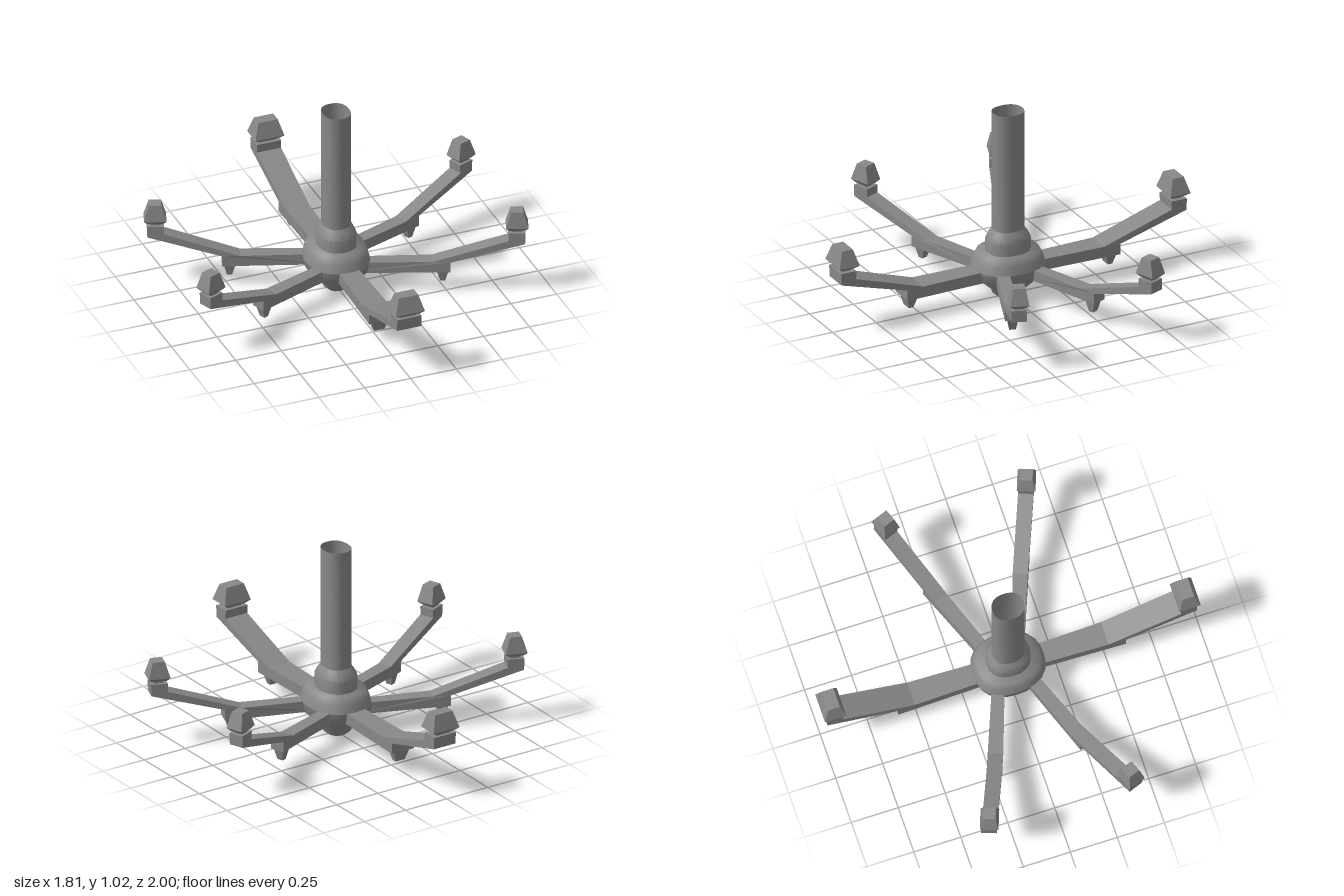
import * as THREE from 'three';
import { toCreasedNormals } from 'three/addons/utils/BufferGeometryUtils.js';

const smooth = new THREE.MeshStandardMaterial({ color: 0x888888, side: THREE.DoubleSide });
const flat = new THREE.MeshStandardMaterial({ color: 0x888888, flatShading: true });

function addMesh(parent, name, geometry, material) {
  const mesh = new THREE.Mesh(geometry, material);
  mesh.name = name;
  parent.add(mesh);
  return mesh;
}

// Lathe with a slightly squared, front-to-back stretched cross-section
function roundedLathe(profile, crease) {
  const geo = new THREE.LatheGeometry(profile.map(([r, y]) => new THREE.Vector2(r, y)), 24);
  const p = geo.attributes.position;
  for (let i = 0; i < p.count; i++) {
    const x = p.getX(i), z = p.getZ(i), r = Math.hypot(x, z);
    if (r < 1e-6) continue;
    const n = 2.4;
    const k = Math.pow(Math.pow(Math.abs(x / r), n) + Math.pow(Math.abs(z / r), n), -1 / n);
    p.setXYZ(i, x * k, p.getY(i), z * k * 1.16);
  }
  geo.deleteAttribute('normal');
  return toCreasedNormals(geo, crease);
}

// Box tapering from bottom half sizes [x, z] to top half sizes
function frustum(y0, [x0, z0], y1, [x1, z1]) {
  const geo = new THREE.BoxGeometry(2, y1 - y0, 2).translate(0, (y0 + y1) / 2, 0);
  const p = geo.attributes.position;
  for (let i = 0; i < p.count; i++) {
    const top = p.getY(i) > (y0 + y1) / 2;
    p.setX(i, p.getX(i) * (top ? x1 : x0));
    p.setZ(i, p.getZ(i) * (top ? z1 : z0));
  }
  return geo;
}

// Side outline of an arm: level bar, sloped rise and lamp holder block
const armOutline = [
  [0.08, 0.117], [0.606, 0.117], [0.606, 0.175], [0.983, 0.284], [0.985, 0.347],
  [0.898, 0.347], [0.9, 0.302], [0.515, 0.177], [0.08, 0.177],
];

// The arm points along +x; beyond the elbow it veers sideways by bend per unit
function makeArm(name, widthScale, bend) {
  const arm = new THREE.Group();
  arm.name = name;
  const veer = (x) => bend * Math.max(0, x - 0.515);

  const shape = new THREE.Shape(armOutline.map(([x, y]) => new THREE.Vector2(x, y)));
  const geo = new THREE.ExtrudeGeometry(shape, { depth: 2, bevelEnabled: false }).translate(0, 0, -1);
  const p = geo.attributes.position;
  for (let i = 0; i < p.count; i++) {
    const x = p.getX(i);
    const half = THREE.MathUtils.mapLinear(Math.min(x, 0.606), 0.08, 0.606, 0.052, 0.066);
    p.setZ(i, p.getZ(i) * half * widthScale + veer(x));
  }
  addMesh(arm, 'armBar', geo, flat);

  // Drop finial under the elbow
  const drop = addMesh(arm, 'dropFinial', frustum(0.056, [0.013, 0.028], 0.12, [0.03, 0.047]), flat);
  drop.position.set(0.567, 0, veer(0.567));
  drop.scale.z = widthScale;

  // Neck and two-part shade on the holder
  const lamp = new THREE.Group();
  lamp.name = 'lamp';
  lamp.position.set(0.943, 0, veer(0.943));
  lamp.scale.z = widthScale;
  addMesh(lamp, 'lampNeck', frustum(0.34, [0.026, 0.042], 0.37, [0.026, 0.042]), flat);
  addMesh(lamp, 'shadeBase', frustum(0.36, [0.04, 0.056], 0.378, [0.057, 0.079]), flat);
  addMesh(lamp, 'shade', frustum(0.378, [0.057, 0.079], 0.465, [0.031, 0.053]), flat);
  arm.add(lamp);
  return arm;
}

export function createModel() {
  const model = new THREE.Group();
  model.name = 'chandelier';

  // Central body: bowl below, softly shaded dome above, collar on top
  addMesh(model, 'hubBowl', roundedLathe([
    [0, 0], [0.05, 0], [0.07, 0.02], [0.075, 0.04], [0.155, 0.125], [0.163, 0.175],
  ], 0.9), smooth);
  addMesh(model, 'hubDome', roundedLathe([
    [0.163, 0.175], [0.153, 0.215], [0.137, 0.253], [0, 0.253],
  ], 1.3), smooth);
  addMesh(model, 'collar', roundedLathe([
    [0.098, 0.25], [0.098, 0.32], [0.085, 0.35], [0.071, 0.372],
  ], 0.5), smooth);
  // Open-ended hanging post
  addMesh(model, 'post', roundedLathe([[0.071, 0.25], [0.071, 1.02]], 0.5), smooth);

  // Wide arms to the front and back
  for (const s of [1, -1]) {
    const arm = makeArm(s > 0 ? 'frontArm' : 'backArm', 1, 0);
    arm.rotation.y = -s * Math.PI / 2;
    model.add(arm);
  }

  // Four narrower diagonal arms, mirrored, bending slightly at the elbow
  const angle = THREE.MathUtils.degToRad(20.3);
  for (const sx of [1, -1]) {
    for (const sz of [1, -1]) {
      const name = (sz > 0 ? 'front' : 'back') + (sx > 0 ? 'Left' : 'Right') + 'Arm';
      const arm = makeArm(name, 0.6, 0.04 * sx * sz);
      arm.rotation.y = -Math.atan2(sz * Math.sin(angle), sx * Math.cos(angle));
      arm.position.set(-0.044 * sx, 0, 0.032 * sz);
      model.add(arm);
    }
  }
  return model;
}
